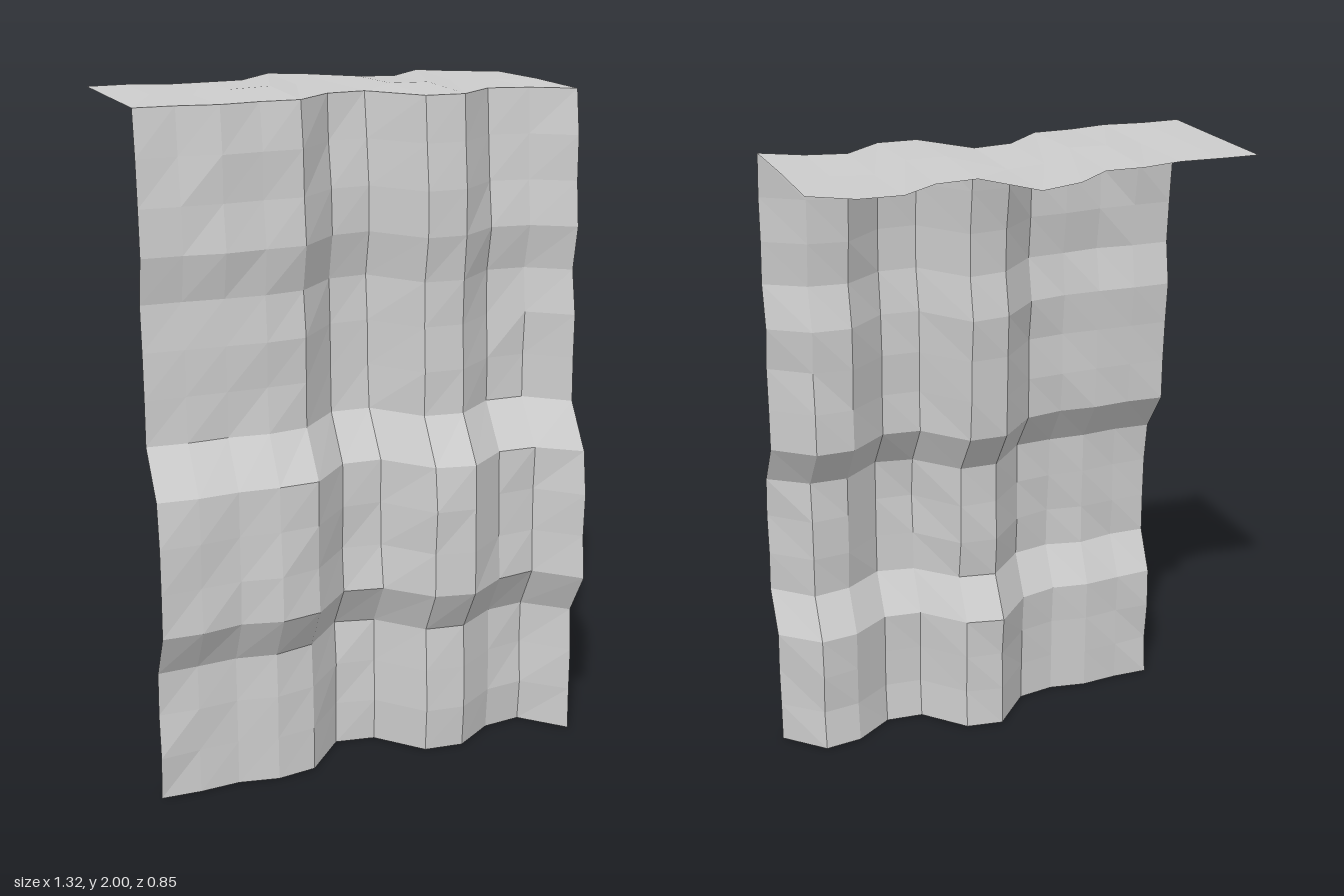
import * as THREE from 'three';

const COLS = 11, ROWS = 15, WIDTH = 1.32, HEIGHT = 1.99, DEPTH = 0.53;

// Depth of each vertical rib at the crest and lower down the face
const crest = [0.26, 0.255, 0.27, 0.245, 0.24, 0.125, 0.105, 0.27, 0.27, 0.165, 0.19, 0.26];
const lower = [0.265, 0.26, 0.24, 0.26, 0.235, 0.105, 0.12, 0.25, 0.26, 0.175, 0.16, 0.265];
// Forward shift of each horizontal rock layer, bottom to top
const layers = [0.095, 0.093, 0.09, 0.085, 0.157, 0.15, 0.143, 0.135,
  0.04, 0.037, 0.032, 0.02, 0.043, 0.03, 0.015, 0];
// Height of the cap's surface along its middle
const capBumps = [0, 0.002, -0.004, 0.005, 0.009, -0.003, -0.004, 0.007, 0.006, -0.004, -0.003, 0.002];

// Repeatable roughness from -1 to 1
function rough(i, j) {
  const s = Math.sin(i * 127.1 + j * 311.7) * 43758.5453;
  return (s - Math.floor(s)) * 2 - 1;
}

// Grid sheet whose points are placed by a rule of column and row (row 0 = lowest/front)
function sheet(rows, place) {
  const geometry = new THREE.PlaneGeometry(1, 1, COLS, rows);
  const position = geometry.attributes.position;
  for (let r = 0; r <= rows; r++) {
    for (let c = 0; c <= COLS; c++) {
      position.setXYZ((rows - r) * (COLS + 1) + c, ...place(c, r));
    }
  }
  const flat = geometry.toNonIndexed();
  flat.computeVertexNormals();
  return flat;
}

const columnX = (c) => -WIDTH / 2 + (c * WIDTH) / COLS;

export function createModel() {
  const group = new THREE.Group();
  group.name = 'cliff';
  const rock = new THREE.MeshStandardMaterial({ color: 0xcccccc, flatShading: true, side: THREE.DoubleSide });
  rock.name = 'grey rock';

  // Upright rock face
  const face = new THREE.Mesh(sheet(ROWS, (c, r) => {
    const t = Math.min(1, Math.max(0, (r - 4) / (ROWS - 4)));
    const bump = r === ROWS ? 0 : 0.008 * rough(c, r);
    const z = THREE.MathUtils.lerp(lower[c], crest[c], t) + layers[r] + bump;
    return [columnX(c), (r * HEIGHT) / ROWS, Math.min(z, 0.425)];
  }), rock);
  face.name = 'cliffFace';

  // Cap running back from the crest
  const capRows = 2;
  const cap = new THREE.Mesh(sheet(capRows, (c, r) => {
    const y = HEIGHT + (r === 1 ? capBumps[c] : r === 2 ? 0.004 * rough(c, 40) : 0);
    return [columnX(c), y, crest[c] - (DEPTH * r) / capRows];
  }), rock);
  cap.name = 'cliffTop';

  group.add(face, cap);
  return group;
}
